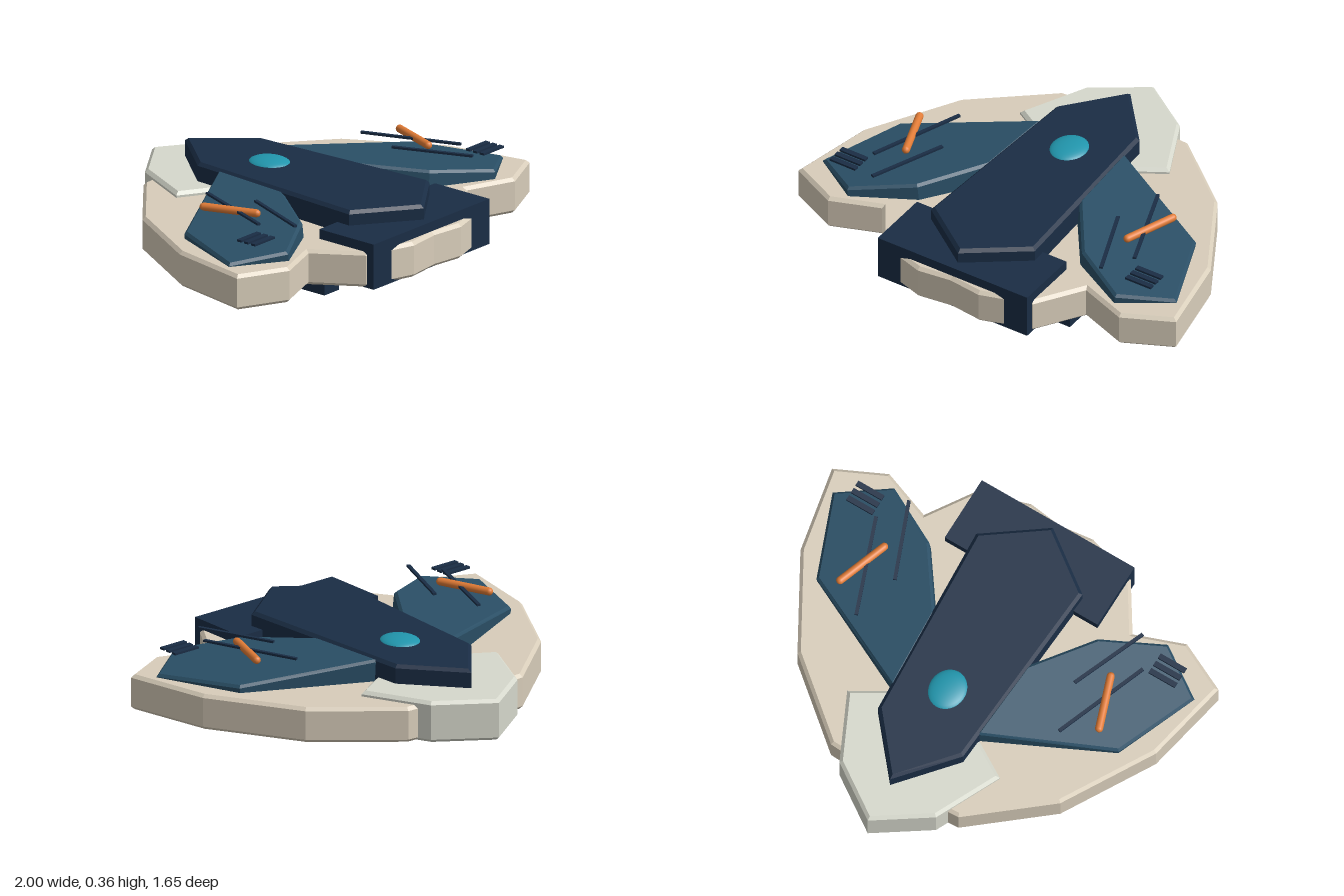
import * as THREE from 'three';

const mat = (color) => new THREE.MeshStandardMaterial({ color });
const hullMat = mat(0xd8cdba), noseMat = mat(0xd6d8cc), navyMat = mat(0x1a2d45);
const wingMat = mat(0x2a4f66), glassMat = mat(0x2196ad), orangeMat = mat(0xe07b36);

// Bevelled slab from an [x, z] outline, between heights y0 and y1
function slab(points, y0, y1, bevel) {
  const shape = new THREE.Shape(points.map(([x, z]) => new THREE.Vector2(x, -z)));
  const geo = new THREE.ExtrudeGeometry(shape, {
    depth: y1 - y0 - 2 * bevel, bevelEnabled: true, bevelSegments: 1,
    bevelSize: bevel, bevelThickness: bevel, bevelOffset: -bevel,
  });
  geo.rotateX(-Math.PI / 2);
  geo.translate(0, y0 + bevel, 0);
  return geo;
}

// Closes a half outline across x = 0
const symmetric = (half) => [
  ...half,
  ...half.filter(([x]) => x > 0).reverse().map(([x, z]) => [-x, z]),
];

export function createModel() {
  const model = new THREE.Group();
  model.name = 'spacecraft';
  const add = (name, geo, material, x = 0, y = 0, z = 0) => {
    const mesh = new THREE.Mesh(geo, material);
    mesh.name = name;
    mesh.position.set(x, y, z);
    model.add(mesh);
    return mesh;
  };

  // Broad hull, nose cap and raised spine
  add('hull', slab(symmetric([
    [0, -0.62], [0.33, -0.6], [0.68, -0.31], [0.92, 0.11], [1, 0.51],
    [0.77, 0.62], [0.54, 0.535], [0.4, 0.75], [0.16, 0.825], [0, 0.805],
  ]), 0.055, 0.22, 0.015), hullMat);
  add('noseCap', slab(symmetric([
    [0, -0.83], [0.25, -0.66], [0.395, -0.355], [0.22, -0.25], [0, -0.22],
  ]), 0.052, 0.245, 0.015), noseMat);
  add('spine', slab(symmetric([
    [0, -0.64], [0.22, -0.38], [0.275, 0.545], [0, 0.745],
  ]), 0.2, 0.332, 0.015), navyMat);

  // Engine block and cockpit dome
  add('engineBlock', new THREE.BoxGeometry(0.79, 0.212, 0.315), navyMat, 0, 0.159, 0.632);
  const dome = add('cockpit', new THREE.SphereGeometry(1, 32, 16), glassMat, 0, 0.325, -0.15);
  dome.scale.set(0.087, 0.027, 0.1);

  for (const s of [1, -1]) {
    const side = s > 0 ? 'left' : 'right';

    // Sloping wing panel
    const wing = add(side + 'Wing', slab([
      [0.22, -0.26], [0.79, 0.02], [0.945, 0.41], [0.715, 0.56], [0.44, 0.41], [0.24, 0.13],
    ].map(([x, z]) => [x * s, z]), -0.185, 0, 0.012), wingMat, 0, 0.352, 0);
    wing.rotation.z = -s * 0.125;

    // Places a z-aligned part between two [x, z] points
    const between = (name, makeGeo, material, a, b, y) => {
      const dx = (b[0] - a[0]) * s, dz = b[1] - a[1];
      const mesh = add(side + name, makeGeo(Math.hypot(dx, dz)), material,
        s * (a[0] + b[0]) / 2, y, (a[1] + b[1]) / 2);
      mesh.rotation.y = Math.atan2(dx, dz);
    };

    // Thin rails and orange rod above the wing
    const rail = (len) => new THREE.BoxGeometry(0.016, 0.01, len);
    between('InnerRail', rail, navyMat, [0.465, 0.165], [0.605, 0.515], 0.345);
    between('OuterRail', rail, navyMat, [0.525, -0.065], [0.69, 0.375], 0.345);
    between('Rod', (len) => new THREE.CapsuleGeometry(0.018, len - 0.036, 4, 16)
      .rotateX(Math.PI / 2), orangeMat, [0.676, 0.02], [0.58, 0.29], 0.345);

    // Vent slats
    for (let i = 0; i < 3; i++) {
      add(side + 'Vent' + i, new THREE.BoxGeometry(0.135, 0.01, 0.025), navyMat,
        s * 0.782, 0.315, 0.395 + i * 0.04);
    }

    // Landing skid
    add(side + 'Skid', new THREE.BoxGeometry(0.1, 0.08, 0.655), navyMat, s * 0.43, 0.04, 0.248);

    // Thruster tube with collar and glowing rim
    add(side + 'Thruster', new THREE.CylinderGeometry(0.07, 0.07, 0.38, 24)
      .rotateX(Math.PI / 2), hullMat, s * 0.27, 0.105, 0.5);
    add(side + 'Collar', new THREE.TorusGeometry(0.07, 0.012, 10, 24), navyMat, s * 0.27, 0.105, 0.37);
    add(side + 'Rim', new THREE.TorusGeometry(0.069, 0.015, 10, 24), orangeMat, s * 0.27, 0.105, 0.69);
  }
  return model;
}
